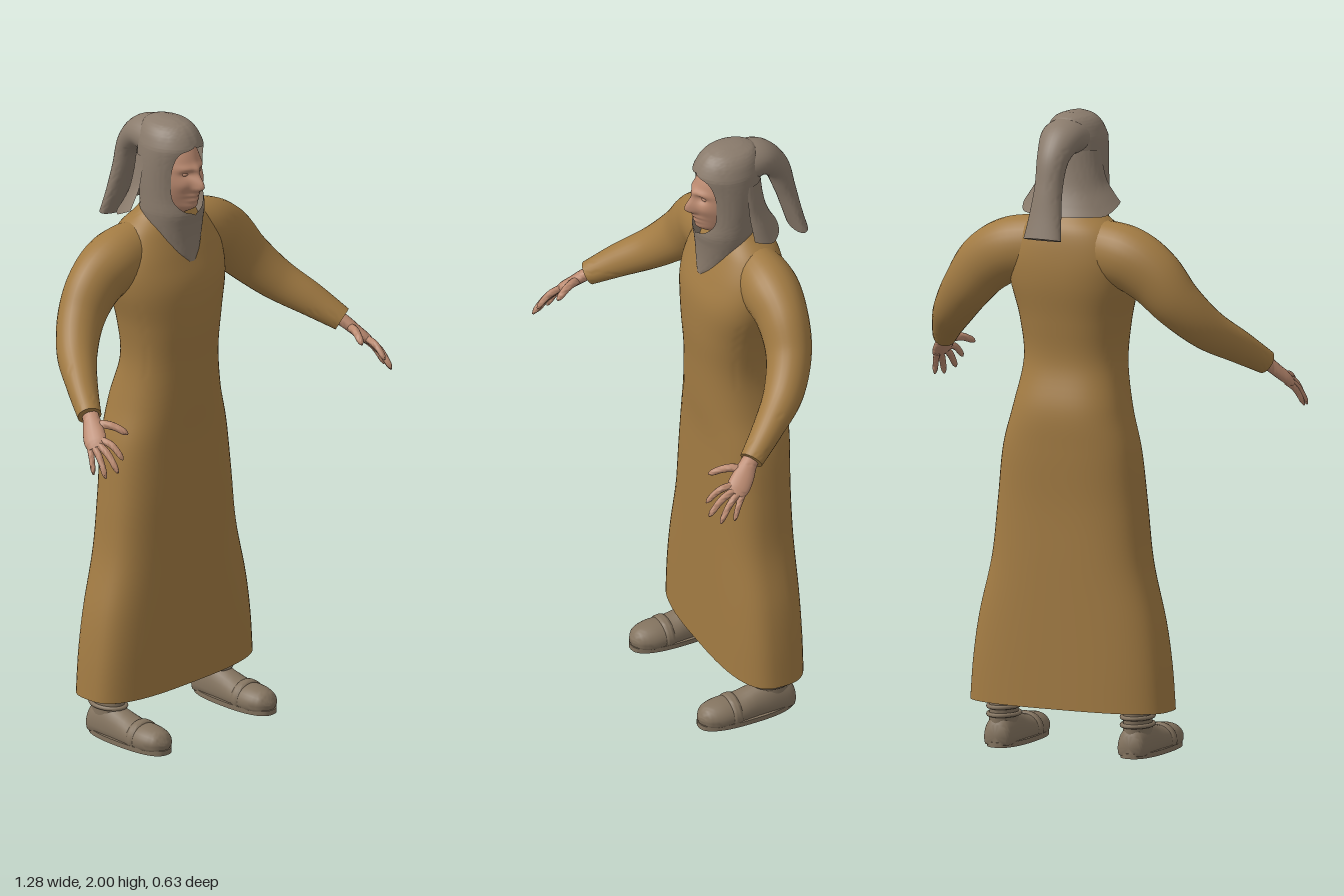
import * as THREE from 'three';
import { mergeVertices, toCreasedNormals } from 'three/addons/utils/BufferGeometryUtils.js';

const V = (a) => new THREE.Vector3(...a);
const mat = (name, color, side = THREE.FrontSide) => {
  const m = new THREE.MeshStandardMaterial({ color, side });
  m.name = name;
  return m;
};

// Smoothly resample a table of number rows
function resample(table, count) {
  const out = [];
  const last = table.length - 1;
  for (let i = 0; i <= count; i++) {
    const f = (i / count) * last;
    const k = Math.min(Math.floor(f), last - 1);
    const t = f - k;
    const [p, a, b, n] = [k - 1, k, k + 1, k + 2].map((q) => table[Math.min(Math.max(q, 0), last)]);
    out.push(a.map((v, c) => {
      const m0 = (b[c] - p[c]) / 2, m1 = (n[c] - v) / 2, t2 = t * t, t3 = t2 * t;
      return v * (2 * t3 - 3 * t2 + 1) + m0 * (t3 - 2 * t2 + t) + b[c] * (3 * t2 - 2 * t3) + m1 * (t3 - t2);
    }));
  }
  return out;
}

// Skin a stack of equal-length point rows, with optional end caps
function loft(rows, capStart = false, capEnd = false, crease = 1.1) {
  const n = rows[0].length;
  const pts = rows.flat();
  const idx = [];
  for (let i = 0; i < rows.length - 1; i++) {
    for (let j = 0; j < n - 1; j++) {
      const a = i * n + j, d = a + n;
      idx.push(a, a + 1, d + 1, a, d + 1, d);
    }
  }
  const cap = (row, first, flip) => {
    const c = pts.length;
    pts.push(row.reduce((s, p) => s.add(p), new THREE.Vector3()).divideScalar(n));
    for (let j = 0; j < n - 1; j++) idx.push(c, first + j + (flip ? 1 : 0), first + j + (flip ? 0 : 1));
  };
  if (capStart) cap(rows[0], 0, true);
  if (capEnd) cap(rows[rows.length - 1], (rows.length - 1) * n, false);
  const g = new THREE.BufferGeometry().setFromPoints(pts);
  g.setIndex(idx);
  return toCreasedNormals(mergeVertices(g, 1e-5), crease);
}

// Horizontal superellipse row; angle 0 faces the front
function ring(y, w, zf, zb, { power = 2, from = 0, to = Math.PI * 2, seg = 56, x = 0 } = {}) {
  const bend = (v) => Math.sign(v) * Math.pow(Math.abs(v), 2 / power);
  return Array.from({ length: seg + 1 }, (_, j) => {
    const a = from + ((to - from) * j) / seg;
    return new THREE.Vector3(x + w * bend(Math.sin(a)), y, (zf + zb) / 2 + ((zf - zb) / 2) * bend(Math.cos(a)));
  });
}

// Elliptical tube along rows of [x, y, z, sideRadius, thickRadius]
function sweep(table, side, { steps = 24, seg = 16, floor = -1 } = {}) {
  const rows = resample(table, steps);
  const c = rows.map((r) => V(r.slice(0, 3)));
  return loft(rows.map((r, i) => {
    const t = c[Math.min(i + 1, steps)].clone().sub(c[Math.max(i - 1, 0)]).normalize();
    const s = V(side).addScaledVector(t, -t.dot(V(side))).normalize();
    const n = t.clone().cross(s);
    return Array.from({ length: seg + 1 }, (_, j) => {
      const a = (j / seg) * Math.PI * 2;
      const p = c[i].clone().addScaledVector(s, r[3] * Math.cos(a)).addScaledVector(n, r[4] * Math.sin(a));
      p.y = Math.max(p.y, floor);
      return p;
    });
  }), true, true);
}

// Face sculpted from a sphere: [x, y, depth, spreadX, spreadY]
function headGeometry() {
  const bumps = [
    [0, 1.806, 0.03, 0.012, 0.016], [0, 1.838, 0.014, 0.009, 0.02],
    [0, 1.773, 0.01, 0.018, 0.005], [0, 1.757, 0.011, 0.016, 0.006], [0, 1.732, 0.02, 0.026, 0.014],
  ];
  for (const s of [-1, 1]) {
    bumps.push([s * 0.028, 1.863, 0.008, 0.02, 0.008], [s * 0.028, 1.845, -0.011, 0.013, 0.009],
      [s * 0.042, 1.81, 0.006, 0.016, 0.014], [s * 0.011, 1.798, 0.006, 0.006, 0.006]);
  }
  const g = new THREE.SphereGeometry(1, 96, 96);
  const p = g.attributes.position;
  for (let i = 0; i < p.count; i++) {
    const x = p.getX(i) * 0.08, y = 1.825 + p.getY(i) * 0.14, front = p.getZ(i) > 0;
    let z = -0.04 + p.getZ(i) * 0.105;
    if (front) for (const [bx, by, d, sx, sy] of bumps) z += d * Math.exp(-(((x - bx) / sx) ** 2 + ((y - by) / sy) ** 2) / 2);
    p.setXYZ(i, x, y, z);
  }
  g.computeVertexNormals();
  return g;
}

export function createModel() {
  const model = new THREE.Group();
  model.name = 'robedFigure';
  const robe = mat('robeCloth', 0xa27b43, THREE.DoubleSide);
  const hoodCloth = mat('hoodCloth', 0x8a7b6c, THREE.DoubleSide);
  const leather = mat('shoeLeather', 0x83735f);
  const skin = mat('skin', 0xbb8a70);
  const add = (name, geometry, material, parent = model) => {
    const m = new THREE.Mesh(geometry, material);
    m.name = name;
    parent.add(m);
    return m;
  };

  // Robe body: y, half width, front z, back z, squareness
  const body = [
    [0.145, 0.337, 0.055, -0.205, 2.9], [0.28, 0.326, 0.055, -0.205, 2.9], [0.42, 0.305, 0.055, -0.205, 2.8],
    [0.6, 0.262, 0.055, -0.205, 2.7], [0.78, 0.242, 0.055, -0.205, 2.6], [0.95, 0.222, 0.055, -0.212, 2.5],
    [1.08, 0.188, 0.063, -0.211, 2.4], [1.22, 0.165, 0.07, -0.177, 2.3], [1.35, 0.177, 0.078, -0.187, 2.3],
    [1.47, 0.205, 0.073, -0.205, 2.3], [1.56, 0.205, 0.045, -0.205, 2.3], [1.64, 0.165, 0.012, -0.19, 2.2],
    [1.69, 0.105, -0.01, -0.155, 2], [1.73, 0.06, -0.03, -0.13, 2],
  ];
  add('robeBody', loft(resample(body, 78).map(([y, w, f, b, power]) => ring(y, w, f, b, { power }))), robe);

  // Hood: y, half width, front z, back z, half angle of the face opening
  const hood = [
    [1.55, 0.03, 0.052, -0.03, 0], [1.575, 0.058, 0.05, -0.05, 0], [1.62, 0.08, 0.05, -0.09, 0],
    [1.67, 0.094, 0.054, -0.12, 0], [1.705, 0.1, 0.06, -0.14, 0], [1.725, 0.101, 0.058, -0.14, 0.42],
    [1.76, 0.101, 0.05, -0.14, 0.7], [1.81, 0.101, 0.047, -0.145, 0.74], [1.87, 0.099, 0.052, -0.152, 0.72],
    [1.915, 0.095, 0.06, -0.156, 0.55], [1.932, 0.091, 0.058, -0.157, 0], [1.965, 0.077, 0.04, -0.15, 0],
    [1.988, 0.055, 0.015, -0.135, 0], [2.0, 0.022, -0.02, -0.1, 0],
  ];
  add('hood', loft(resample(hood, 78).map(([y, w, f, b, open]) => {
    const from = Math.max(open, 0);
    return ring(y, w, f, b, { from, to: Math.PI * 2 - from });
  }), false, true), hoodCloth);

  // Cape of the hood, flaring over the shoulders at the back
  const cape = [[1.69, 0.16, -0.205], [1.72, 0.142, -0.188], [1.77, 0.116, -0.168], [1.83, 0.102, -0.156], [1.89, 0.094, -0.15]];
  add('hoodCape', loft(resample(cape, 20).map(([y, w, b]) => {
    const row = ring(y, w, -0.16 - b, b, { from: 1.45, to: Math.PI * 2 - 1.45, seg: 40 });
    row.forEach((p) => { p.y += Math.max(0, p.z + 0.14) * 0.5 * (1.89 - y) / 0.2; });
    return row;
  })), hoodCloth);

  // Long tail hanging from the crown
  add('hoodTail', sweep([
    [0, 1.92, -0.08, 0.08, 0.066], [0, 1.925, -0.155, 0.07, 0.056], [0, 1.875, -0.215, 0.052, 0.042],
    [0, 1.79, -0.245, 0.046, 0.033], [0, 1.7, -0.27, 0.054, 0.027], [0, 1.63, -0.29, 0.064, 0.024],
  ], [1, 0, 0], { steps: 36, seg: 28 }), hoodCloth);

  add('face', headGeometry(), skin);

  for (const m of [1, -1]) {
    const half = new THREE.Group();
    half.name = m > 0 ? 'leftLimbs' : 'rightLimbs';
    model.add(half);
    const mir = (t) => t.map(([x, ...rest]) => [x * m, ...rest]);
    const eyelid = add('eyelid', new THREE.SphereGeometry(0.011, 16, 12), skin, half);
    eyelid.scale.set(1.15, 0.7, 1);
    eyelid.position.set(0.028 * m, 1.845, 0.041);

    // Sleeve
    add('sleeve', sweep(mir([
      [0.06, 1.575, -0.095, 0.075, 0.1], [0.19, 1.562, -0.098, 0.09, 0.1], [0.285, 1.51, -0.096, 0.079, 0.095],
      [0.362, 1.425, -0.078, 0.07, 0.08], [0.435, 1.343, -0.022, 0.062, 0.066],
      [0.5, 1.28, 0.065, 0.048, 0.053], [0.553, 1.222, 0.15, 0.037, 0.038],
    ]), [0, 0, 1], { steps: 42, seg: 28 }), robe, half);

    // Hand: palm, then fingers as [knuckle, tip, radius]
    const across = [-0.035 * m, 0.02, 0.04];
    add('palm', sweep(mir([
      [0.54, 1.235, 0.13, 0.026, 0.022], [0.556, 1.216, 0.16, 0.027, 0.02], [0.575, 1.19, 0.188, 0.034, 0.018],
      [0.592, 1.167, 0.214, 0.036, 0.016], [0.602, 1.152, 0.232, 0.028, 0.01],
    ]), across), skin, half);
    const fingers = [
      [[0.606, 1.15, 0.203], [0.636, 1.078, 0.25], 0.0095], [[0.604, 1.152, 0.222], [0.625, 1.074, 0.293], 0.0105],
      [[0.594, 1.159, 0.236], [0.598, 1.092, 0.319], 0.011], [[0.58, 1.172, 0.238], [0.573, 1.128, 0.316], 0.0105],
      [[0.558, 1.203, 0.18], [0.512, 1.185, 0.277], 0.0125],
    ];
    fingers.forEach(([a, b, r], i) => {
      const at = (t, k) => [...V(a).lerp(V(b), t).add(new THREE.Vector3(0, 0.012 * Math.sin(t * Math.PI), 0)).toArray(), r * k, r * k];
      const rows = [at(-0.15, 1), at(0.3, 1.05), at(0.6, 0.95), at(0.88, 0.8), at(1, 0.25)];
      add(i === 4 ? 'thumb' : 'finger', sweep(mir(rows), across, { steps: 14, seg: 12 }), skin, half);
    });

    // Leg, shoe, sole and straps
    const x = 0.23;
    add('leg', sweep(mir([
      [x, 0.04, -0.09, 0.044, 0.06], [x, 0.13, -0.09, 0.041, 0.061],
      [x - 0.01, 0.3, -0.09, 0.048, 0.06], [x - 0.05, 0.55, -0.085, 0.06, 0.07],
    ]), [1, 0, 0], { seg: 24 }), leather, half);
    add('shoe', sweep(mir([
      [x, 0.03, -0.153, 0.034, 0.04], [x, 0.03, -0.135, 0.046, 0.068], [x, 0.03, -0.08, 0.05, 0.082],
      [x, 0.03, -0.02, 0.051, 0.066], [x, 0.03, 0.04, 0.056, 0.049], [x, 0.03, 0.1, 0.057, 0.047],
      [x, 0.03, 0.145, 0.042, 0.036], [x, 0.03, 0.166, 0.014, 0.012],
    ]), [1, 0, 0], { steps: 36, seg: 28, floor: 0.008 }), leather, half);
    const sole = [0, 0.016].map((y) => ring(y, 0.06, 0.168, -0.157, { power: 2.5, x: x * m }));
    add('sole', loft(sole, true, true, 0.6), leather, half);
    for (const y of [0.1, 0.125]) {
      const band = add('ankleBand', new THREE.TorusGeometry(0.045, 0.007, 8, 32), leather, half);
      band.rotation.x = Math.PI / 2;
      band.scale.y = 1.36;
      band.position.set(x * m, y, -0.09);
    }
    add('instepStrap', sweep(mir([
      [x, 0.03, 0.04, 0.055, 0.048], [x, 0.03, 0.046, 0.06, 0.054], [x, 0.03, 0.066, 0.06, 0.053], [x, 0.03, 0.072, 0.055, 0.047],
    ]), [1, 0, 0], { steps: 9, seg: 28, floor: 0.008 }), leather, half);
  }
  return model;
}
